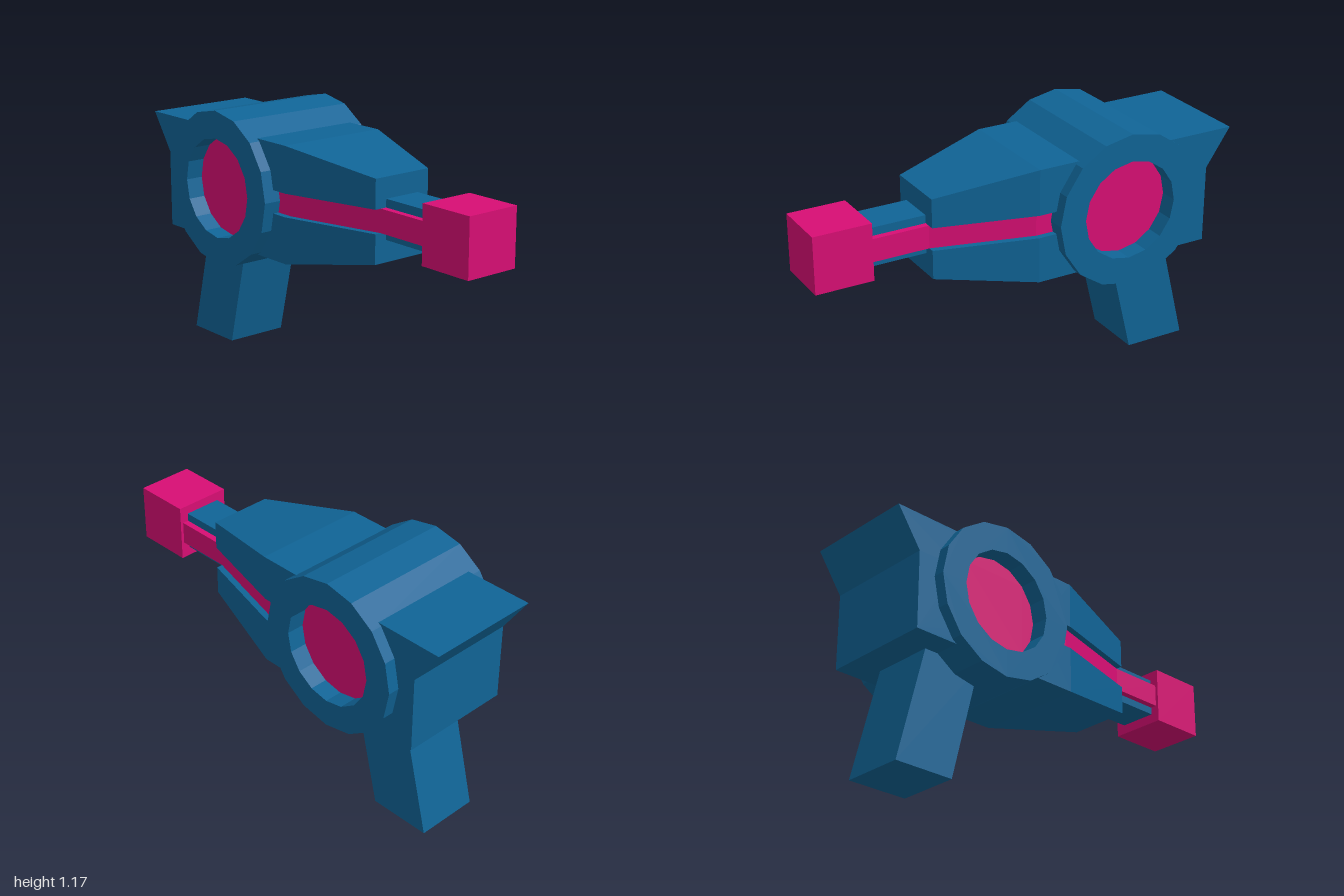
import * as THREE from 'three';

const blue = new THREE.MeshStandardMaterial({ color: 0x106496, flatShading: true });
const pink = new THREE.MeshStandardMaterial({ color: 0xd80e74, flatShading: true });

// Block along x from x0 to x1; each end is a section [yMin, yMax, half depth]
function taperedBlock(x0, x1, s0, s1 = s0) {
  const g = new THREE.BoxGeometry(1, 1, 1);
  const p = g.attributes.position;
  for (let i = 0; i < p.count; i++) {
    const front = p.getX(i) > 0;
    const [lo, hi, half] = front ? s1 : s0;
    p.setXYZ(i, front ? x1 : x0, p.getY(i) > 0 ? hi : lo, Math.sign(p.getZ(i)) * half);
  }
  g.computeVertexNormals();
  return g;
}

// Regular 16-sided outline around the drum axis
const drumX = -0.435, drumY = 0.81;
function ringPoints(r) {
  return Array.from({ length: 16 }, (_, i) => {
    const a = (i / 16) * Math.PI * 2;
    return new THREE.Vector2(drumX + r * Math.cos(a), drumY + r * Math.sin(a));
  });
}

// Side profile extruded symmetrically about z = 0
function sideExtrude(points, half, holeRadius) {
  const shape = new THREE.Shape(points);
  if (holeRadius) shape.holes.push(new THREE.Path(ringPoints(holeRadius)));
  const g = new THREE.ExtrudeGeometry(shape, { depth: half * 2, bevelEnabled: false });
  return g.translate(0, 0, -half);
}

const outline = (pairs) => pairs.map(([x, y]) => new THREE.Vector2(x, y));

export function createModel() {
  const model = new THREE.Group();
  const add = (name, geometry, material) => {
    const mesh = new THREE.Mesh(geometry, material);
    mesh.name = name;
    model.add(mesh);
  };

  // Rear body with swept fin, and a notch where the side stripes enter
  add('body', sideExtrude(outline([
    [-1, 1.076], [-0.88, 0.9], [-0.88, 0.54], [0, 0.54], [0, 0.755],
    [-0.15, 0.755], [-0.15, 0.862], [0, 0.862], [0, 1.076],
  ]), 0.27, 0.25), blue);

  // Tapered nose, split by the stripe channel
  add('noseUpper', taperedBlock(0, 0.46, [0.862, 1.076, 0.27], [0.862, 0.996, 0.15]), blue);
  add('noseLower', taperedBlock(0, 0.46, [0.54, 0.755, 0.27], [0.62, 0.755, 0.15]), blue);

  // Stripe running inside the channel and along the barrel
  add('stripeRear', taperedBlock(-0.16, 0, [0.755, 0.862, 0.24]), pink);
  add('stripeNose', taperedBlock(0, 0.46, [0.755, 0.862, 0.24], [0.755, 0.862, 0.12]), pink);
  add('stripeBarrel', taperedBlock(0.46, 0.735, [0.755, 0.862, 0.12]), pink);

  // Barrel and muzzle
  add('barrel', taperedBlock(0.44, 0.735, [0.72, 0.9, 0.09]), blue);
  add('muzzle', taperedBlock(0.73, 1, [0.675, 0.942, 0.134]), pink);

  // Side drum with recessed discs
  add('drum', sideExtrude(ringPoints(0.361), 0.324, 0.233), blue);
  add('drumDiscs', sideExtrude(ringPoints(0.234), 0.24), pink);

  // Slanted grip
  add('grip', sideExtrude(outline([
    [-0.87, 0], [-0.575, 0], [-0.44, 0.55], [-0.733, 0.55],
  ]), 0.15), blue);

  return model;
}
